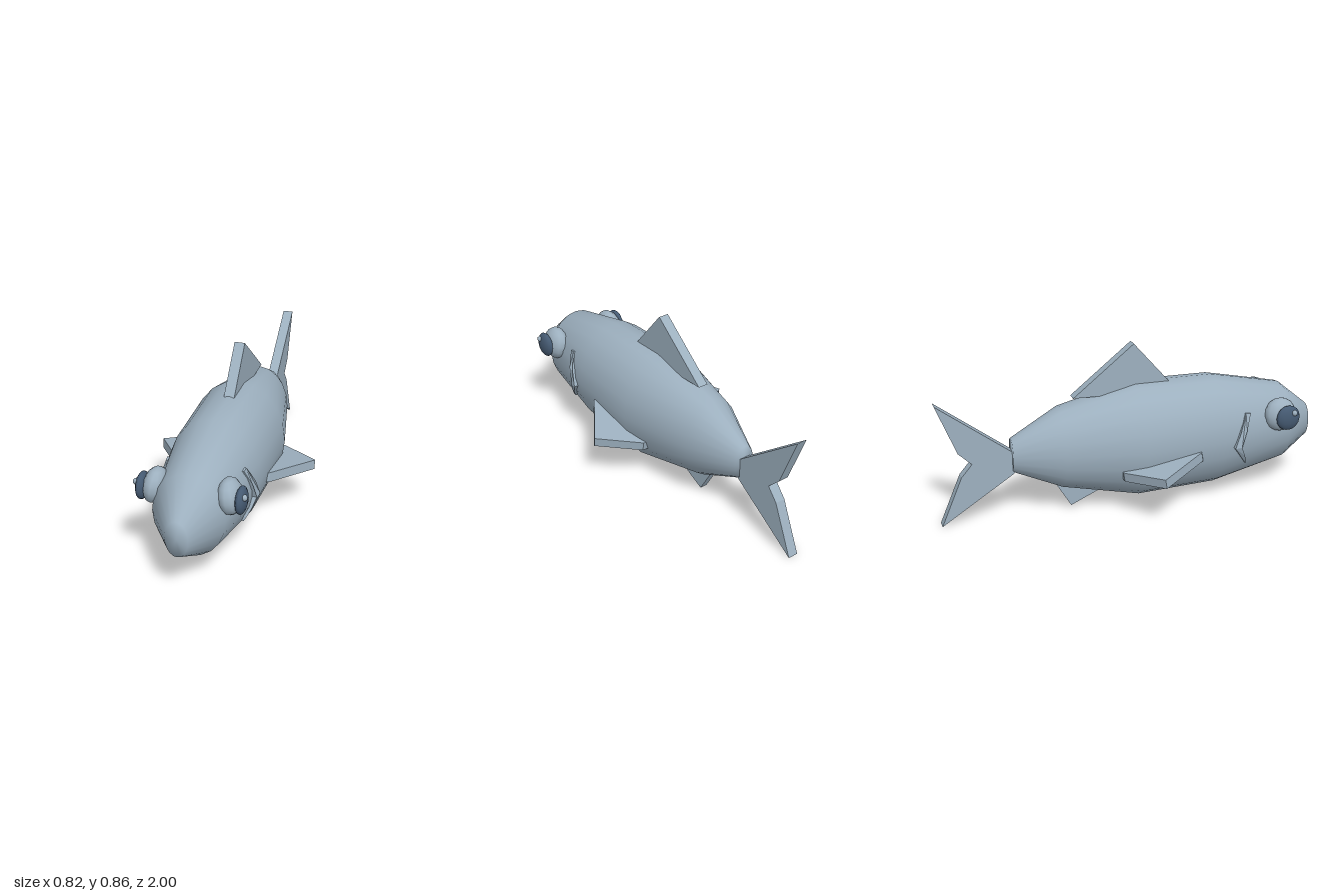
import * as THREE from 'three';

const skin = new THREE.MeshStandardMaterial({ color: 0x9db0bf });
skin.name = 'blue grey skin';
const dark = new THREE.MeshStandardMaterial({ color: 0x465b73 });
dark.name = 'dark blue pupil';

// Body sections: z, centre height, half width, half height
const SECTIONS = [
  [1.0, 0.328, 0.055, 0.092],
  [0.83, 0.348, 0.175, 0.213],
  [0.44, 0.348, 0.232, 0.297],
  [0.02, 0.345, 0.243, 0.306],
  [-0.38, 0.345, 0.157, 0.215],
  [-0.63, 0.333, 0.055, 0.09],
];
const SIDES = 20;

function bodyGeometry() {
  const pos = [], index = [];
  for (const [z, cy, rx, ry] of SECTIONS) {
    for (let j = 0; j < SIDES; j++) {
      const a = (j / SIDES) * Math.PI * 2;
      pos.push(rx * Math.sin(a), cy + ry * Math.cos(a), z);
    }
  }
  const last = SECTIONS.length - 1;
  const nose = SECTIONS.length * SIDES, rear = nose + 1;
  pos.push(0, SECTIONS[0][1], SECTIONS[0][0], 0, SECTIONS[last][1], SECTIONS[last][0]);
  for (let j = 0; j < SIDES; j++) {
    const k = (j + 1) % SIDES;
    for (let i = 0; i < last; i++) {
      const a = i * SIDES + j, b = i * SIDES + k;
      index.push(a, b, a + SIDES, b, b + SIDES, a + SIDES);
    }
    index.push(nose, k, j, rear, last * SIDES + j, last * SIDES + k);
  }
  const g = new THREE.BufferGeometry();
  g.setAttribute('position', new THREE.Float32BufferAttribute(pos, 3));
  g.setIndex(index);
  g.computeVertexNormals();
  return g;
}

// Half width of the body at a given height and depth
function bodyX(y, z) {
  const i = Math.max(0, SECTIONS.findIndex((s, n) => n < SECTIONS.length - 1 && z >= SECTIONS[n + 1][0]));
  const p = SECTIONS[i], q = SECTIONS[i + 1];
  const t = (p[0] - z) / (p[0] - q[0]);
  const [cy, rx, ry] = [1, 2, 3].map((n) => p[n] + (q[n] - p[n]) * t);
  return rx * Math.sqrt(Math.max(0, 1 - ((y - cy) / ry) ** 2));
}

// Centred slab extruded from an outline
function slab(points, thickness) {
  const shape = new THREE.Shape(points.map(([x, y]) => new THREE.Vector2(x, y)));
  return new THREE.ExtrudeGeometry(shape, { depth: thickness, bevelEnabled: false })
    .translate(0, 0, -thickness / 2);
}

// Upright slab whose outline is given as [z, y]
const uprightSlab = (points, thickness) => slab(points, thickness).rotateY(-Math.PI / 2);

export function createModel() {
  const model = new THREE.Group();
  model.name = 'fish';
  const add = (name, geometry, material = skin, parent = model) => {
    const m = new THREE.Mesh(geometry, material);
    m.name = name;
    parent.add(m);
    return m;
  };

  add('body', bodyGeometry());

  // Fins on the centre line
  add('dorsalFin', uprightSlab([[0.21, 0.63], [0.01, 0.86], [-0.31, 0.605], [-0.1, 0.6]], 0.053));
  add('tailFin', uprightSlab([
    [-0.6, 0.345], [-0.63, 0.36], [-1, 0.645], [-0.9, 0.385], [-0.834, 0.32],
    [-0.89, 0.255], [-1, 0], [-0.63, 0.237], [-0.6, 0.26],
  ], 0.053));
  add('ventralFin', uprightSlab([[-0.16, 0.09], [-0.33, 0.015], [-0.41, 0.15], [-0.28, 0.17]], 0.038));

  for (const side of [1, -1]) {
    const label = side > 0 ? 'left' : 'right';

    // Pectoral fin, sloping down toward the tail
    const outline = [[0.18, -0.34], [0.24, -0.31], [0.41, -0.05], [0.215, 0.105], [0.16, 0.105]];
    const fin = add(label + 'PectoralFin',
      slab(outline.map(([x, y]) => [x * side, y]), 0.049).rotateX(-Math.PI / 2));
    fin.rotation.x = -0.157;
    fin.position.y = 0.243;

    // Gill ridge following the flank
    const gill = uprightSlab([
      [0.59, 0.475], [0.562, 0.48], [0.525, 0.395], [0.49, 0.31], [0.53, 0.255], [0.575, 0.195],
      [0.572, 0.215], [0.555, 0.255], [0.53, 0.31], [0.56, 0.395],
    ], 0.03);
    const p = gill.attributes.position;
    for (let i = 0; i < p.count; i++) {
      const y = p.getY(i);
      const lift = 0.02 - 0.08 * Math.abs(y - 0.31);
      const outer = p.getX(i) * side > 0;
      p.setX(i, side * (bodyX(y, p.getZ(i)) + (outer ? Math.max(0.007, lift) : -0.02)));
    }
    gill.computeVertexNormals();
    add(label + 'Gill', gill);

    // Bulging eye
    const eye = new THREE.Group();
    eye.name = label + 'Eye';
    model.add(eye);
    const ball = add('eyeball', new THREE.SphereGeometry(1, 12, 8), skin, eye);
    ball.scale.set(0.058, 0.088, 0.088);
    ball.position.set(0.178 * side, 0.446, 0.765);
    ball.rotation.z = 0.15 * side;
    const pupil = add('pupil', new THREE.SphereGeometry(1, 12, 8), dark, eye);
    pupil.scale.set(0.028, 0.067, 0.066);
    pupil.position.set(0.235 * side, 0.444, 0.783);
    const glint = add('glint', new THREE.SphereGeometry(0.016, 8, 6), skin, eye);
    glint.position.set(0.255 * side, 0.474, 0.808);
  }
  return model;
}
